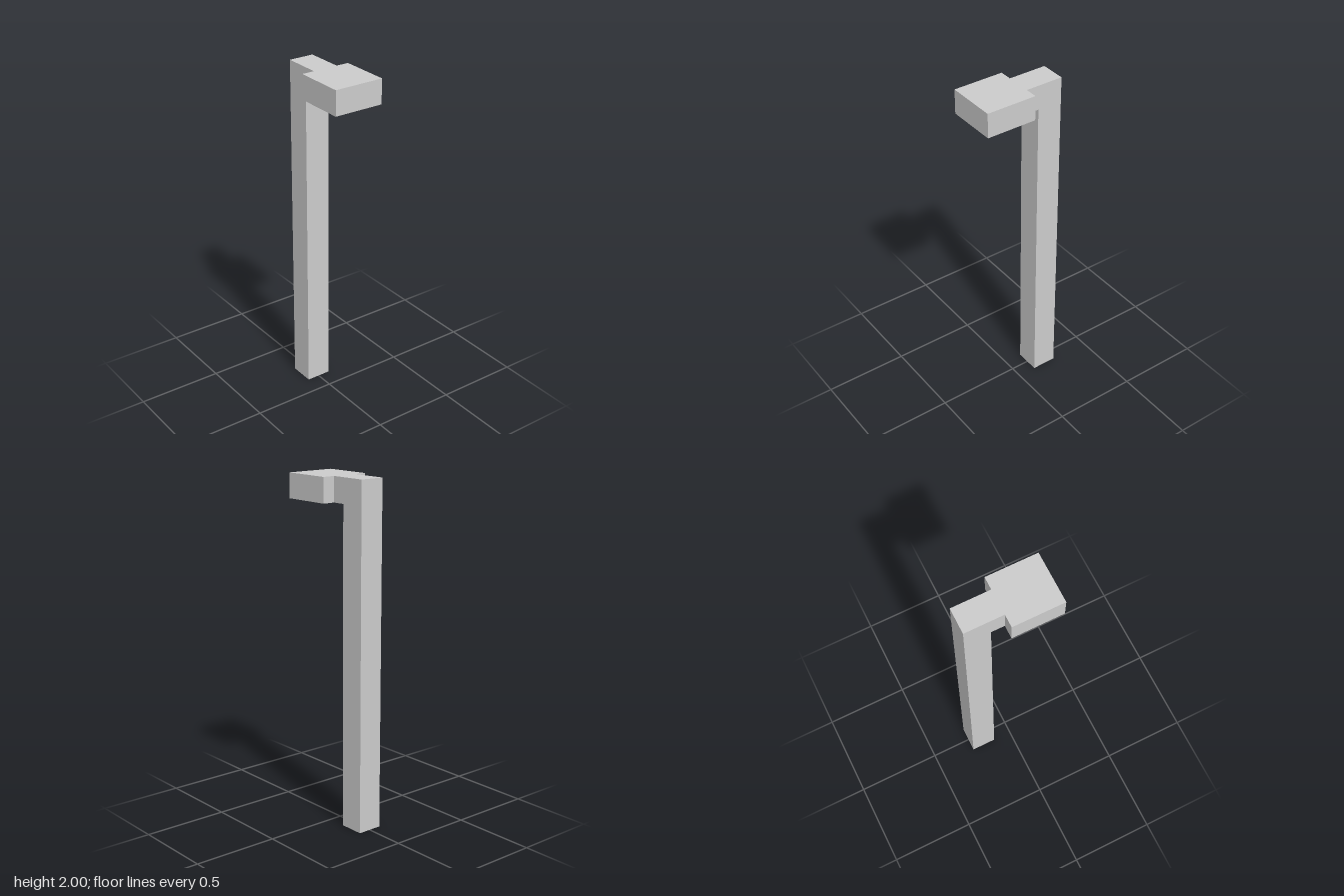
import * as THREE from 'three';

const UNIT = 0.148;            // thickness of the post
const TOP = 2;
const BACK = -0.26, FRONT = 0.26;
const HEAD_BACK = FRONT - 2 * UNIT;
const UNDERSIDE = TOP - 0.143; // bottom of the arm and head

export function createModel() {
  const group = new THREE.Group();
  const material = new THREE.MeshStandardMaterial({ color: 0xcccccc, flatShading: true });

  function add(name, geometry) {
    const mesh = new THREE.Mesh(geometry, material);
    mesh.name = name;
    group.add(mesh);
    return mesh;
  }

  // Post with its short arm: an upside-down L in side profile (z, y), extruded across x
  const profile = new THREE.Shape([
    [BACK, 0], [BACK + UNIT, 0], [BACK + UNIT, UNDERSIDE],
    [HEAD_BACK, UNDERSIDE], [HEAD_BACK, TOP], [BACK, TOP],
  ].map(([z, y]) => new THREE.Vector2(z, y)));
  const post = new THREE.ExtrudeGeometry(profile, { depth: UNIT, bevelEnabled: false });
  post.translate(0, 0, -UNIT / 2).rotateY(-Math.PI / 2);
  add('postAndArm', post);

  // Square head at the end of the arm
  const head = add('head', new THREE.BoxGeometry(2 * UNIT, TOP - UNDERSIDE, FRONT - HEAD_BACK));
  head.position.set(0, (TOP + UNDERSIDE) / 2, (FRONT + HEAD_BACK) / 2);

  return group;
}
